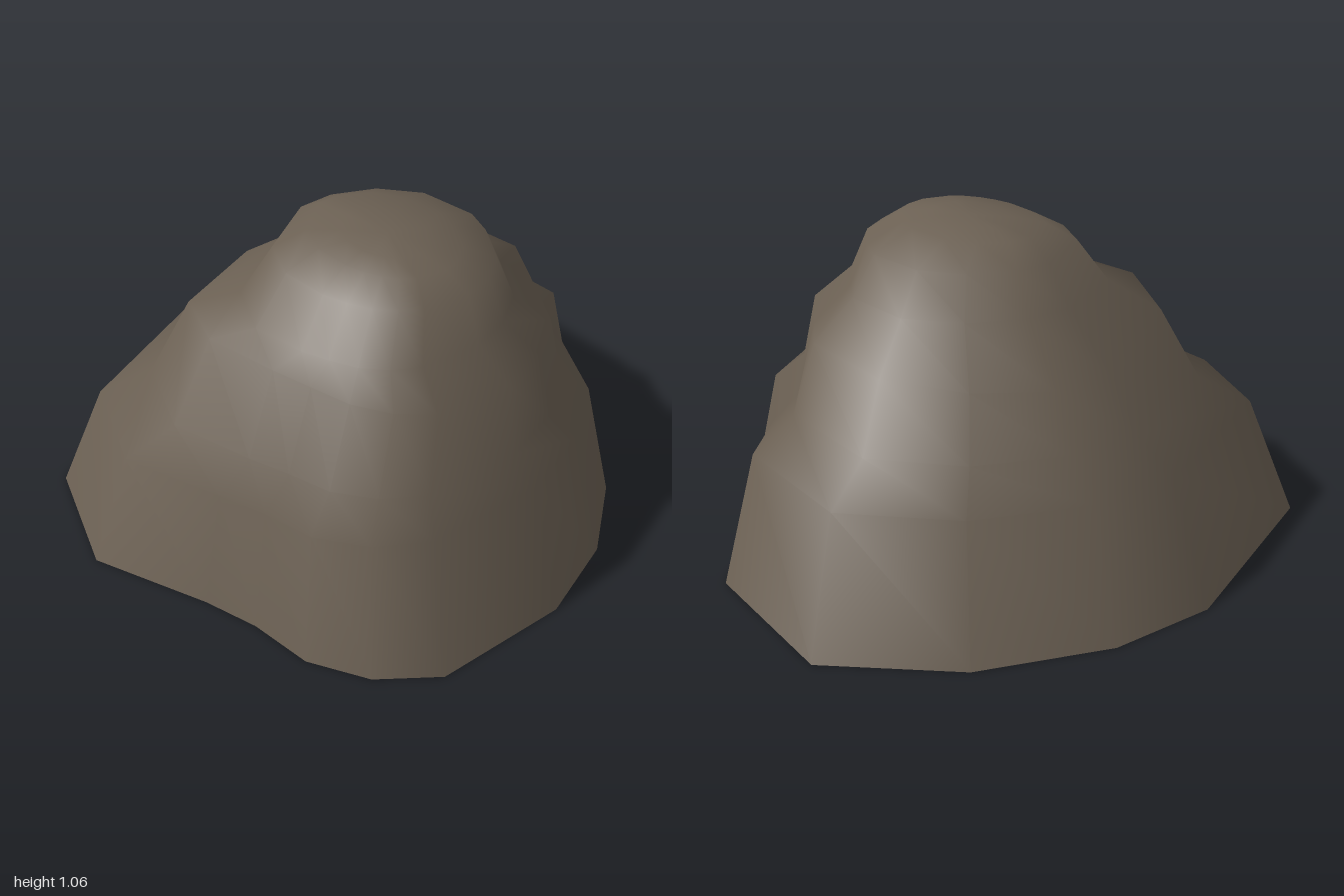
import * as THREE from 'three';

// Footprint of the hill (x, z), walked from the back round by the left side
const footprint = [
  [-0.16, -0.95], [0.21, -0.94], [0.64, -0.78], [1, -0.47], [1, 0.09], [0.77, 0.30],
  [0.59, 0.66], [0.33, 0.85], [0.02, 0.95], [-0.45, 0.92], [-0.63, 0.78], [-0.74, 0.59],
  [-0.77, 0.37], [-0.83, 0.18], [-1, -0.22], [-0.86, -0.65],
];

// Terraces: x and z extents, heights at -x, +x, back and front, roundness
const terraces = [
  { x: [-1, 1], z: [-0.95, 0.95], y: [0, 0, 0, 0], round: 0 },
  { x: [-0.87, 0.87], z: [-0.79, 0.82], y: [0.41, 0.43, 0.41, 0.45], round: 0.15 },
  { x: [-0.71, 0.71], z: [-0.64, 0.72], y: [0.50, 0.52, 0.505, 0.52], round: 0.3 },
  { x: [-0.57, 0.62], z: [-0.56, 0.66], y: [0.80, 0.75, 0.69, 0.74], round: 0.5 },
  { x: [-0.45, 0.45], z: [-0.34, 0.54], y: [0.83, 0.855, 0.85, 0.85], round: 0.6 },
  { x: [-0.33, 0.37], z: [-0.28, 0.47], y: [0.99, 0.99, 0.99, 0.99], round: 0.8 },
  { x: [-0.22, 0.22], z: [-0.18, 0.39], y: [1.05, 1.05, 1.05, 1.05], round: 0.9 },
  { x: [-0.13, 0.12], z: [-0.05, 0.28], y: [1.06, 1.06, 1.06, 1.06], round: 1 },
];

function terracePoint([px, pz], t) {
  const nx = px, nz = pz / 0.95, r = Math.hypot(nx, nz);
  const ux = THREE.MathUtils.lerp(nx, nx / r, t.round);
  const uz = THREE.MathUtils.lerp(nz, nz / r, t.round);
  const wx = (nx / r) ** 2;
  const y = wx * t.y[nx < 0 ? 0 : 1] + (1 - wx) * t.y[nz < 0 ? 2 : 3];
  const mid = ([a, b]) => (a + b) / 2;
  const half = ([a, b]) => (b - a) / 2;
  return [mid(t.x) + ux * half(t.x), y, mid(t.z) + uz * half(t.z)];
}

// Average the normals up each slope so the terraces shade softly
function softenNormals(geometry, columns, rows) {
  const normal = geometry.attributes.normal;
  const at = (row, col) => new THREE.Vector3().fromBufferAttribute(normal, row * columns + col);
  for (let pass = 0; pass < 2; pass++) {
    for (let col = 0; col < columns; col++) {
      const column = Array.from({ length: rows }, (_, row) => at(row, col));
      column.forEach((n, row) => {
        const soft = n.clone().add(column[Math.max(row - 1, 0)])
          .add(column[Math.min(row + 1, rows - 1)]).normalize();
        normal.setXYZ(row * columns + col, soft.x, soft.y, soft.z);
      });
    }
  }
}

export function createModel() {
  const stone = new THREE.MeshStandardMaterial({ color: 0x6b6053, side: THREE.DoubleSide });
  stone.name = 'brown stone';

  const n = footprint.length;
  const positions = [];
  const index = [];
  for (const t of terraces) {
    for (const p of footprint) positions.push(...terracePoint(p, t));
  }

  // Slopes and ledges
  for (let i = 0; i < terraces.length - 1; i++) {
    for (let j = 0; j < n; j++) {
      const a = i * n + j, b = i * n + (j + 1) % n;
      index.push(a, a + n, b + n, a, b + n, b);
    }
  }

  // Flat summit; the underside stays open
  const last = (terraces.length - 1) * n;
  const summit = positions.length / 3;
  positions.push(0, 1.06, 0.12);
  for (let j = 0; j < n; j++) index.push(last + (j + 1) % n, last + j, summit);

  const geometry = new THREE.BufferGeometry();
  geometry.setAttribute('position', new THREE.Float32BufferAttribute(positions, 3));
  geometry.setIndex(index);
  geometry.computeVertexNormals();
  softenNormals(geometry, n, terraces.length);

  const hill = new THREE.Mesh(geometry, stone);
  hill.name = 'terracedRock';
  const group = new THREE.Group();
  group.name = 'rockHill';
  group.add(hill);
  return group;
}
